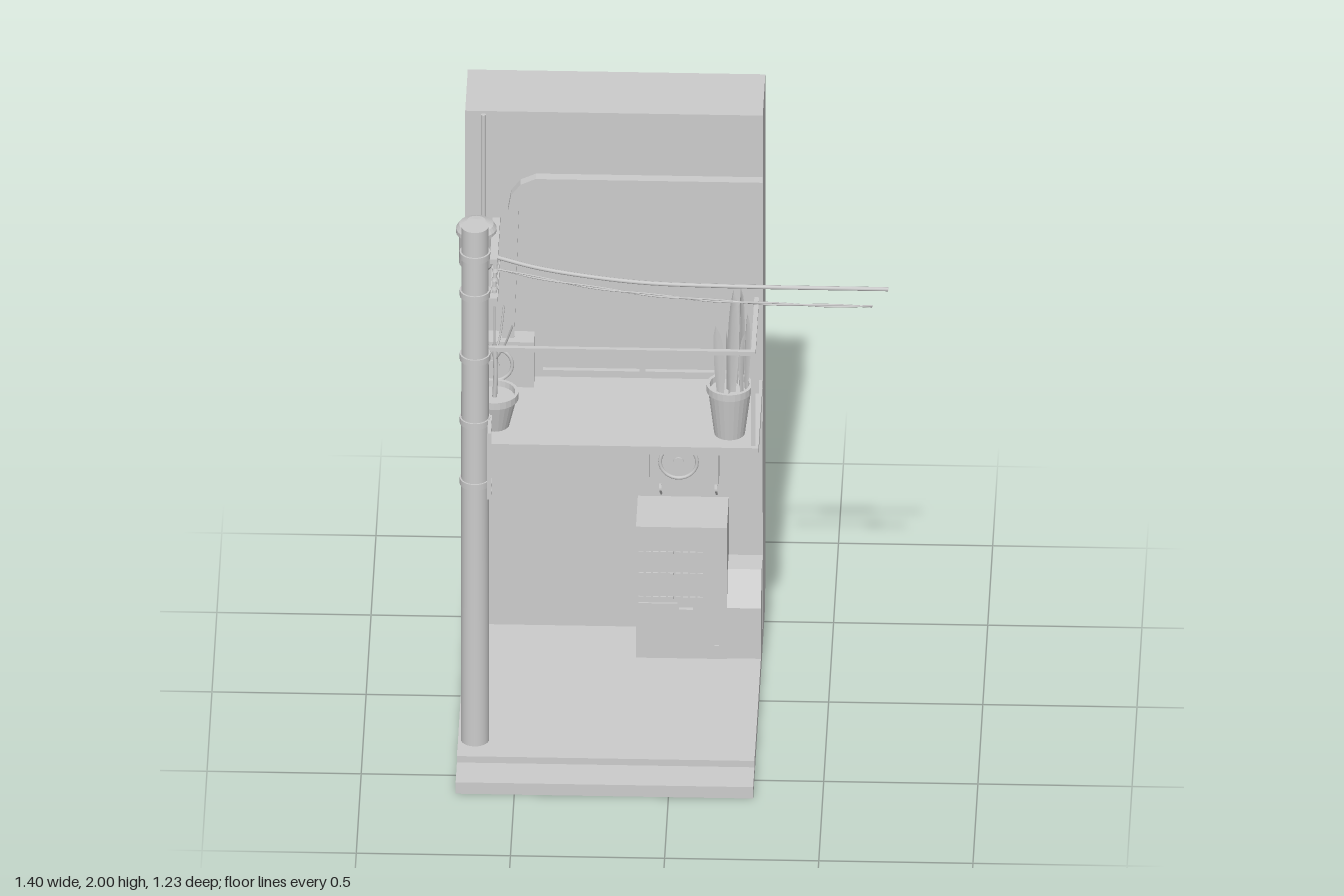
import * as THREE from 'three';

const mat = new THREE.MeshStandardMaterial({ color: 0xcccccc });
const flat = new THREE.MeshStandardMaterial({ color: 0xcccccc, flatShading: true });
const thin = new THREE.MeshStandardMaterial({ color: 0xcccccc, side: THREE.DoubleSide });
const V = (x, y, z) => new THREE.Vector3(x, y, z);

export function createModel() {
  const root = new THREE.Group();

  const add = (name, geometry, material = mat, parent = root) => {
    const m = new THREE.Mesh(geometry, material);
    m.name = name;
    parent.add(m);
    return m;
  };
  const group = (name) => {
    const g = new THREE.Group();
    g.name = name;
    root.add(g);
    return g;
  };
  // box given by its min and max on each axis
  const box = (name, x0, x1, y0, y1, z0, z1, parent) => {
    const m = add(name, new THREE.BoxGeometry(x1 - x0, y1 - y0, z1 - z0), mat, parent);
    m.position.set((x0 + x1) / 2, (y0 + y1) / 2, (z0 + z1) / 2);
    return m;
  };
  // upright cylinder standing on y0
  const cyl = (name, x, z, y0, y1, r0, r1, parent, sides = 24) => {
    const m = add(name, new THREE.CylinderGeometry(r1, r0, y1 - y0, sides), mat, parent);
    m.position.set(x, (y0 + y1) / 2, z);
    return m;
  };
  const tube = (name, pts, r, parent, seg = 24, sides = 8) =>
    add(name, new THREE.TubeGeometry(new THREE.CatmullRomCurve3(pts.map((p) => V(...p))), seg, r, sides), thin, parent);
  // outline in x and y, extruded from z0 to z1
  const slab = (name, pts, z0, z1, parent) => {
    const s = new THREE.Shape(pts.map((p) => new THREE.Vector2(...p)));
    const m = add(name, new THREE.ExtrudeGeometry(s, { depth: z1 - z0, bevelEnabled: false }), flat, parent);
    m.position.z = z0;
    return m;
  };

  // Ground, kerb and building wall
  const L = -0.69, R = 0.275;
  box('street', L, R, 0, 0.043, -0.595, 0.615);
  box('pavement', L, R, 0.043, 0.06, -0.595, 0.435);
  box('kerb', L, R, 0.043, 0.067, 0.43, 0.49);
  box('wall', L, R, 0.06, 2, -0.615, -0.355);

  // Window frame and sliding sashes
  const win = group('window');
  box('windowHead', -0.455, 0.24, 1.71, 1.73, -0.355, -0.338, win);
  box('windowSill', -0.455, 0.24, 1.015, 1.035, -0.355, -0.338, win);
  for (const x of [-0.455, 0.222]) box('windowJamb', x, x + 0.018, 1.015, 1.73, -0.355, -0.338, win);
  box('windowMullion', -0.125, -0.105, 1.03, 1.715, -0.355, -0.338, win);

  // Balcony with railing
  const balcony = group('balcony');
  box('balconyFloor', L, R, 0.97, 1.0, -0.355, 0.075, balcony);
  box('frontRail', -0.675, 0.265, 1.34, 1.355, 0.045, 0.06, balcony);
  for (const x of [-0.675, 0.25]) {
    box('sideRail', x, x + 0.015, 1.34, 1.355, -0.285, 0.06, balcony);
    for (const z of [-0.285, 0.045]) box('railPost', x, x + 0.015, 1, 1.35, z, z + 0.015, balcony);
  }

  // Air conditioner: case, fan ring and hub
  const airConditioner = (x, y, front) => {
    const g = group('airConditioner');
    box('case', x, x + 0.2, y, y + 0.17, -0.355, front, g);
    const ring = add('fanRing', new THREE.TorusGeometry(0.06, 0.006, 8, 32), mat, g);
    ring.position.set(x + 0.07, y + 0.088, front + 0.006);
    for (const [r, d] of [[0.058, 0.006], [0.018, 0.012]]) {
      const disc = add('fanDisc', new THREE.CylinderGeometry(r, r, d, 32), mat, g);
      disc.rotation.x = Math.PI / 2;
      disc.position.set(x + 0.07, y + 0.088, front + d / 2);
    }
    return g;
  };
  airConditioner(-0.665, 1.0, -0.285);
  const lowerUnit = airConditioner(-0.065, 0.655, -0.265);
  for (const x of [-0.058, 0.122]) {
    box('bracketArm', x, x + 0.008, 0.648, 0.656, -0.355, -0.235, lowerUnit);
    box('bracketUpright', x, x + 0.008, 0.565, 0.655, -0.355, -0.345, lowerUnit);
    tube('bracketBrace', [[x + 0.004, 0.65, -0.238], [x + 0.004, 0.57, -0.348]], 0.004, lowerUnit, 1, 6);
  }

  // Ducts and pipe on the wall
  slab('upperDuct', [[-0.57, 1.16], [-0.55, 1.65], [-0.54, 1.71], [-0.51, 1.75], [-0.46, 1.773], [R, 1.773],
    [R, 1.74], [-0.455, 1.74], [-0.49, 1.72], [-0.51, 1.69], [-0.515, 1.65], [-0.53, 1.16]], -0.345, -0.31);
  slab('lowerDuct', [[0.055, 0.82], [0.055, 0.89], [0.085, 0.92], [0.225, 0.92], [R, 0.875], [R, 0.53],
    [0.228, 0.6], [0.228, 0.86], [0.212, 0.88], [0.1, 0.88], [0.1, 0.82]], -0.34, -0.28);
  cyl('wallPipe', -0.63, -0.333, 1.16, 2, 0.008, 0.008, root, 12);
  box('signBoard', L, -0.09, 0.655, 0.835, -0.355, -0.26);

  // Vending machine with button rows, slot and tray
  const machine = group('vendingMachine');
  box('cabinet', -0.13, 0.165, 0.06, 0.555, -0.355, -0.16, machine);
  for (const y of [0.455, 0.375, 0.285]) {
    for (let i = 0; i < 9; i++) {
      const x = -0.122 + i * 0.024;
      box('button', x, x + 0.017, y, y + 0.009, -0.16, -0.155, machine);
    }
  }
  box('tray', -0.122, 0.005, 0.19, 0.27, -0.16, -0.154, machine);
  box('coinSlot', 0.01, 0.055, 0.217, 0.253, -0.16, -0.145, machine);
  box('lock', 0.125, 0.14, 0.105, 0.112, -0.16, -0.155, machine);

  // Recycling bin with sloped front, extruded sideways
  const bin = slab('bin', [[0.165, 0.06], [0.165, 0.25], [0.245, 0.35], [0.335, 0.35], [0.335, 0.06]].reverse(), 0, 0.11);
  bin.rotation.y = Math.PI / 2;
  bin.position.set(0.165, 0, 0);

  // Utility pole with bands, ladder step, arms and transformer
  const pole = group('utilityPole');
  const px = -0.635, pz = 0.37;
  cyl('poleShaft', px, pz, 0.06, 2, 0.046, 0.044, pole);
  for (const y of [1.04, 1.27, 1.51, 1.75, 1.895]) cyl('poleBand', px, pz, y - 0.011, y + 0.011, 0.05, 0.05, pole);
  for (const y of [1.03, 1.268]) box('stepBar', -0.592, -0.58, y, y + 0.012, 0.36, 0.475, pole);
  for (const z of [0.412, 0.463]) box('stepUpright', -0.592, -0.58, 1.03, 1.28, z, z + 0.012, pole);
  for (const y of [1.74, 1.887]) box('crossArm', -0.585, -0.56, y, y + 0.018, 0.155, 0.42, pole);
  for (const z of [0.38, 0.325, 0.265, 0.205]) {
    cyl('insulator', -0.572, z, 1.755, 1.8, 0.009, 0.006, pole, 10);
    cyl('insulatorSkirt', -0.572, z, 1.77, 1.78, 0.012, 0.009, pole, 10);
  }
  const can = [[0, 1.77], [0.048, 1.77], [0.056, 1.785], [0.056, 1.895], [0.066, 1.9], [0.066, 1.915],
    [0.056, 1.93], [0.03, 1.942], [0, 1.945]].map((p) => new THREE.Vector2(...p));
  add('transformer', new THREE.LatheGeometry(can, 28), flat, pole).position.set(px, 0, 0.238);

  // Sagging cables
  tube('thickCable', [[-0.57, 1.785, 0.205], [-0.45, 1.75, 0.205], [-0.3, 1.722, 0.205], [-0.1, 1.698, 0.205],
    [0.15, 1.69, 0.205], [0.7, 1.688, 0.205]], 0.007, root, 40);
  for (const s of [0, Math.PI]) {
    const pts = [];
    for (let i = 0; i <= 30; i++) {
      const t = i / 30, a = t * 20 + s;
      pts.push([-0.57 + 1.22 * t, 1.658 + 0.12 * (1 - t) ** 2.6 + 0.003 * Math.sin(a), 0.265 + 0.003 * Math.cos(a)]);
    }
    tube('twistedCable', pts, 0.003, root, 60, 6);
  }

  // Flower pot: open tapered bowl with a rim and soil
  const pot = (x, z, h, r0, r1) => {
    const g = group('pottedPlant');
    g.position.set(x, 1, z);
    const p = [[0, 0], [r0, 0], [r1 * 0.93, h - 0.025], [r1, h - 0.025], [r1, h], [r1 * 0.86, h], [r1 * 0.83, h - 0.02], [0, h - 0.02]];
    add('pot', new THREE.LatheGeometry(p.map((q) => new THREE.Vector2(...q)), 24),
      new THREE.MeshStandardMaterial({ color: 0xcccccc, flatShading: true, side: THREE.DoubleSide }), g);
    return g;
  };
  // Pointed blade leaf, slightly cupped and leaning
  const leaf = (parent, x, z, y0, y1, w, turn, lean) => {
    const g = new THREE.PlaneGeometry(1, 1, 2, 8), a = g.attributes.position;
    for (let i = 0; i < a.count; i++) {
      const t = a.getY(i) + 0.5, s = a.getX(i);
      const k = w * Math.min(1, 0.55 + t) * Math.sqrt(Math.max(0, 1 - t ** 3));
      a.setXYZ(i, s * k + lean * t * t, t * (y1 - y0), Math.abs(s) * k * 0.5);
    }
    g.computeVertexNormals();
    const m = add('leaf', g, thin, parent);
    m.position.set(x, y0, z);
    m.rotation.y = turn;
  };

  const tall = pot(0.178, -0.022, 0.185, 0.05, 0.075);
  [[0.005, 0.02, 0.55, 0.05, 0.6, 0.01], [0.03, -0.03, 0.53, 0.045, 1.2, 0.012], [-0.03, 0.04, 0.43, 0.04, 0.3, -0.015],
    [0.05, 0.0, 0.46, 0.035, 2.2, -0.015], [0.02, -0.04, 0.47, 0.04, -0.6, 0.015], [-0.01, 0.0, 0.38, 0.04, 1.8, 0.01],
    [0.045, 0.035, 0.4, 0.035, -1, 0.01]].forEach(([x, z, h, w, turn, lean]) => leaf(tall, x, z, 0.16, h, w, turn, lean));

  const small = pot(-0.585, -0.05, 0.125, 0.048, 0.078);
  tube('stem', [[0, 0.1, 0], [0.004, 0.2, 0.003], [0, 0.3, 0]], 0.008, small, 10);
  [[0.06, 0.41, 0.065], [-0.06, 0.38, -0.025], [0.03, 0.43, -0.035], [0, 0.45, 0.01]].forEach(([x, y, z], i) =>
    tube('twig', [[0, 0.24 + i * 0.015, 0], [x * 0.5, 0.31, z * 0.5], [x, y, z]], 0.0035, small, 8, 6));

  return root;
}
